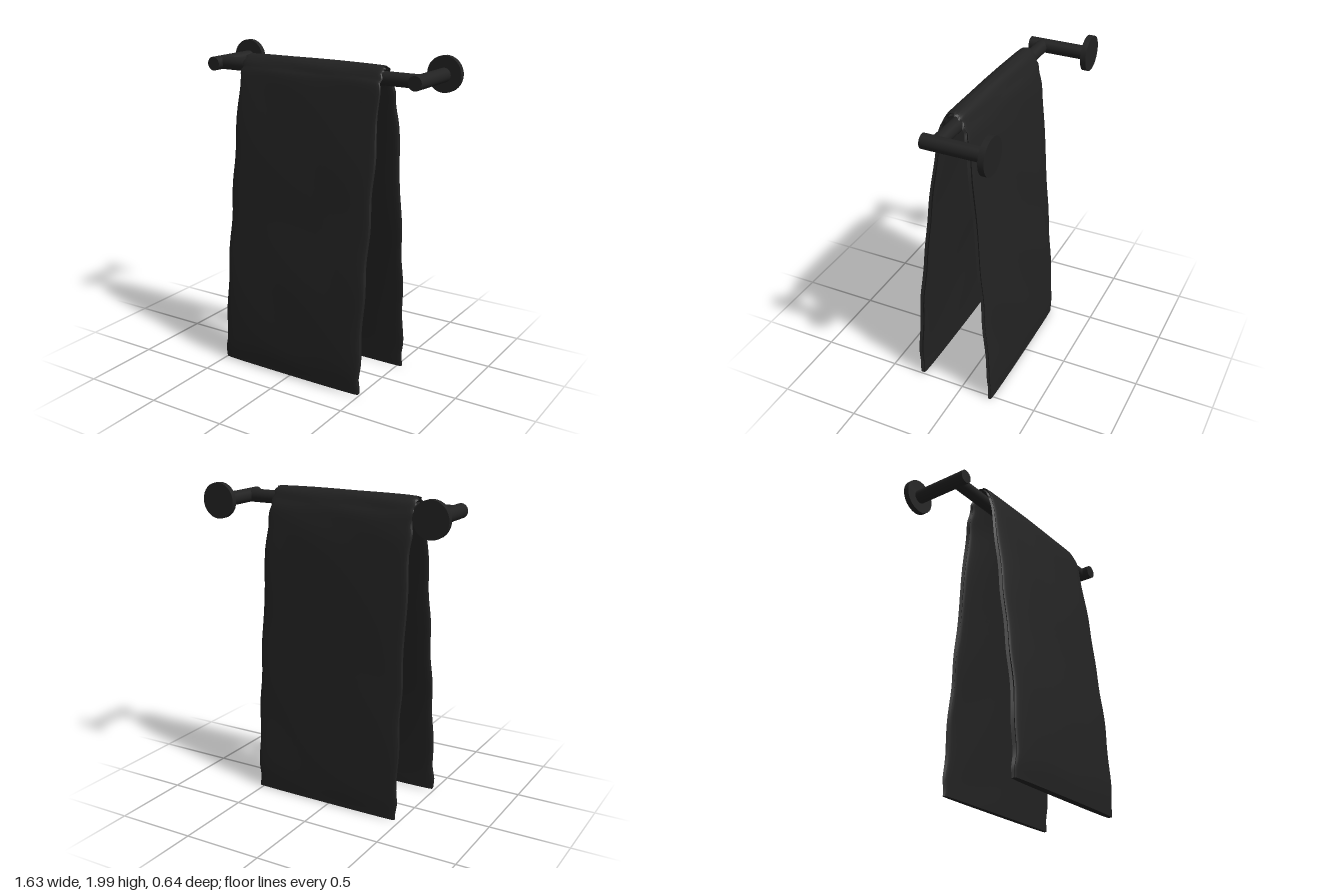
import * as THREE from 'three';
import { toCreasedNormals } from 'three/addons/utils/BufferGeometryUtils.js';

const BAR_Y = 1.89;

function cylinder(name, radius, length, axis, material, sides = 32) {
  const geo = new THREE.CylinderGeometry(radius, radius, length, sides);
  if (axis === 'x') geo.rotateZ(Math.PI / 2);
  else geo.rotateX(Math.PI / 2);
  const mesh = new THREE.Mesh(geo, material);
  mesh.name = name;
  return mesh;
}

// Folded towel: a thick rounded cross-section swept over the bar
function towelGeometry() {
  // z, y, thickness, right edge, left edge
  const stations = [
    [0.288, 0.02, 0.046, -0.495, 0.495],
    [0.288, 0.2, 0.056, -0.485, 0.5],
    [0.26, 0.6, 0.056, -0.48, 0.505],
    [0.212, 1.0, 0.052, -0.48, 0.505],
    [0.164, 1.4, 0.05, -0.48, 0.505],
    [0.104, 1.8, 0.036, -0.478, 0.495],
    [0.076, 1.89, 0.034, -0.477, 0.49],
    [0.05, 1.934, 0.034, -0.475, 0.488],
    [0.015, 1.949, 0.034, -0.475, 0.488],
    [-0.02, 1.933, 0.034, -0.475, 0.488],
    [-0.044, 1.885, 0.036, -0.475, 0.49],
    [-0.066, 1.8, 0.05, -0.475, 0.5],
    [-0.094, 1.58, 0.056, -0.47, 0.515],
    [-0.142, 1.0, 0.048, -0.47, 0.525],
    [-0.174, 0.6, 0.044, -0.47, 0.53],
    [-0.2, 0.2, 0.042, -0.47, 0.53],
    [-0.206, 0.01, 0.034, -0.47, 0.525],
  ];
  const path = new THREE.CatmullRomCurve3(
    stations.map(([z, y]) => new THREE.Vector3(0, y, z)), false, 'catmullrom', 0.5);
  const size = new THREE.CatmullRomCurve3(
    stations.map(([, , t, a, b]) => new THREE.Vector3(t, a, b)), false, 'catmullrom', 0.5);

  const rows = 112, cols = 64;
  const pos = [], idx = [];
  for (let i = 0; i <= rows; i++) {
    const u = i / rows;
    const p = path.getPoint(u), t = path.getTangent(u), s = size.getPoint(u);
    const mid = (s.y + s.z) / 2, half = (s.z - s.y) / 2;
    for (let j = 0; j < cols; j++) {
      const a = (j / cols) * Math.PI * 2;
      const c = Math.cos(a), sn = Math.sin(a);
      const seam = j % (cols / 2) === 0;
      // the seam between the folded layers sits slightly inside the edge
      const edge = 0.005 * Math.sin(i * 0.9 + c) * Math.abs(c);
      const x = mid + c * (half + edge - (seam ? 0.015 : 0));
      const ripple = 0.0015 * Math.sin(x * 11 + i * 0.5) * Math.sin(p.y * 3);
      const off = seam ? 0 : Math.sign(sn) * Math.pow(Math.abs(sn), 0.3) * s.x / 2 + ripple;
      pos.push(x, p.y - t.z * off, p.z + t.y * off);
    }
  }
  for (let i = 0; i < rows; i++) {
    for (let j = 0; j < cols; j++) {
      const k = (j + 1) % cols;
      const a = i * cols + j, b = i * cols + k;
      idx.push(a, a + cols, b, b, a + cols, b + cols);
    }
  }
  // hem ends, bridged between the two faces
  const last = rows * cols;
  for (let j = 0; j < cols / 2; j++) {
    const a = j, b = j + 1, c = (cols - j) % cols, d = cols - j - 1;
    if (a !== c) {
      idx.push(a, b, c);
      idx.push(last + a, last + c, last + b);
    }
    if (b !== d) {
      idx.push(b, d, c);
      idx.push(last + b, last + c, last + d);
    }
  }
  const geo = new THREE.BufferGeometry();
  geo.setAttribute('position', new THREE.Float32BufferAttribute(pos, 3));
  geo.setIndex(idx);
  return toCreasedNormals(geo, 0.9);
}

export function createModel() {
  const model = new THREE.Group();
  model.name = 'towelRail';
  const black = new THREE.MeshStandardMaterial({ color: 0x222222 });
  black.name = 'charcoal black';

  // Rail
  const bar = cylinder('bar', 0.041, 1.41, 'x', black);
  bar.position.set(0, BAR_Y - 0.004, 0.005);
  model.add(bar);

  // Wall mounts
  for (const side of [-1, 1]) {
    const mount = new THREE.Group();
    mount.name = side > 0 ? 'leftMount' : 'rightMount';
    const post = cylinder('post', 0.043, 0.385, 'z', black);
    post.position.set(0, -0.004, -0.1075);
    const flange = cylinder('wallFlange', 0.109, 0.035, 'z', black);
    flange.position.z = -0.3025;
    mount.add(post, flange);
    mount.position.set(side * 0.705, BAR_Y, 0);
    model.add(mount);
  }

  // Towel
  const towel = new THREE.Mesh(towelGeometry(), black);
  towel.name = 'towel';
  model.add(towel);
  return model;
}
